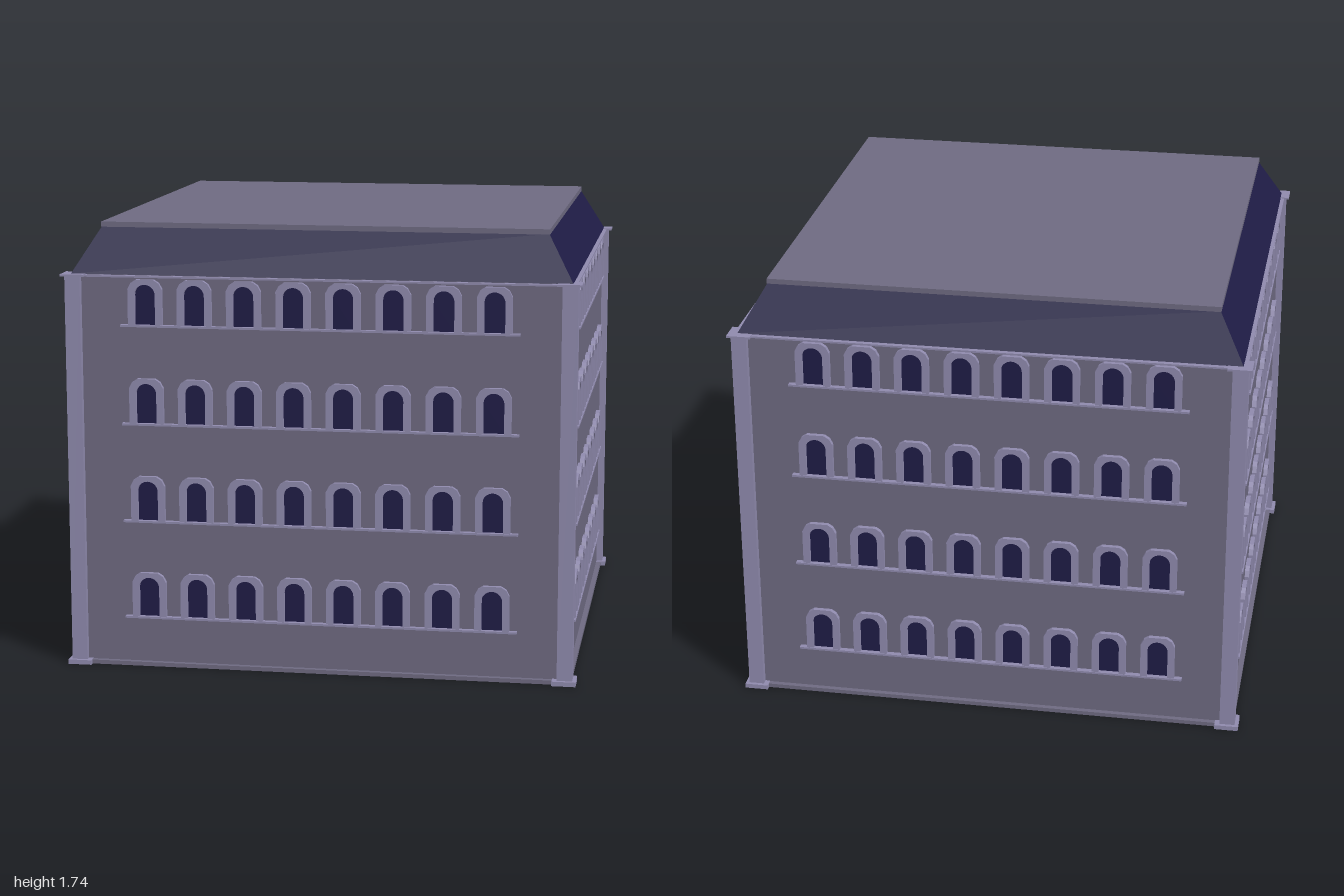
import * as THREE from 'three';

const wallMat = new THREE.MeshStandardMaterial({ color: 0x6e6a81 });
const trimMat = new THREE.MeshStandardMaterial({ color: 0x8f8aad });
const darkMat = new THREE.MeshStandardMaterial({ color: 0x1f1c46 });
const roofMat = new THREE.MeshStandardMaterial({ color: 0x1f1c46, flatShading: true });

const WALL = 0.96; // half width of the building
const EAVES = 1.548;
const COLUMNS = 8, PITCH = 0.1923;
const FLOORS = [0.2, 0.585, 0.97, 1.355];

function add(parent, name, geometry, material, x = 0, y = 0, z = 0) {
  const mesh = new THREE.Mesh(geometry, material);
  mesh.name = name;
  mesh.position.set(x, y, z);
  parent.add(mesh);
  return mesh;
}

// Box given by its size and the height of its underside
function slab(parent, name, w, h, d, material, x, y, z) {
  return add(parent, name, new THREE.BoxGeometry(w, h, d), material, x, y + h / 2, z);
}

// Round-headed opening
function archPath(PathType) {
  const p = new PathType();
  p.moveTo(-0.04, 0);
  p.lineTo(0.04, 0);
  p.lineTo(0.04, 0.117);
  p.absarc(0, 0.117, 0.04, 0, Math.PI, false);
  p.lineTo(-0.04, 0);
  return p;
}

// Frame outline with cut upper corners
function frameGeometry() {
  const s = new THREE.Shape([
    [-0.067, 0], [0.067, 0], [0.067, 0.14], [0.055, 0.163], [0.035, 0.176],
    [-0.035, 0.176], [-0.055, 0.163], [-0.067, 0.14],
  ].map(([x, y]) => new THREE.Vector2(x, y)));
  s.holes.push(archPath(THREE.Path));
  return new THREE.ExtrudeGeometry(s, { depth: 0.018, bevelEnabled: false, curveSegments: 12 });
}

const frameGeo = frameGeometry();
const paneGeo = new THREE.ShapeGeometry(archPath(THREE.Shape), 12);

// One side of the building: rows of windows on sills
function createFacade() {
  const facade = new THREE.Group();
  facade.name = 'facade';
  for (const y of FLOORS) {
    slab(facade, 'sill', 1.54, 0.008, 0.022, trimMat, 0, y - 0.007, WALL + 0.01);
    for (let i = 0; i < COLUMNS; i++) {
      const x = (i - (COLUMNS - 1) / 2) * PITCH;
      add(facade, 'windowFrame', frameGeo, trimMat, x, y, WALL);
      add(facade, 'windowPane', paneGeo, darkMat, x, y, WALL + 0.002);
    }
  }
  return facade;
}

export function createModel() {
  const building = new THREE.Group();
  building.name = 'building';

  // Walls, plinth and cornice
  slab(building, 'walls', 2 * WALL, EAVES - 0.002, 2 * WALL, wallMat, 0, 0.001, 0);
  slab(building, 'plinth', 1.96, 0.016, 1.96, wallMat, 0, 0, 0);
  slab(building, 'cornice', 1.96, 0.007, 1.96, trimMat, 0, EAVES - 0.009, 0);

  // Four matching sides
  for (let i = 0; i < 4; i++) {
    const facade = createFacade();
    facade.rotation.y = i * Math.PI / 2;
    building.add(facade);
  }

  // Corner pillars with foot and cap plates
  for (const sx of [-1, 1]) for (const sz of [-1, 1]) {
    const pillar = new THREE.Group();
    pillar.name = 'cornerPillar';
    slab(pillar, 'shaft', 0.06, EAVES - 0.01, 0.06, trimMat, sx * 0.956, 0.005, sz * 0.956);
    slab(pillar, 'foot', 0.093, 0.018, 0.093, trimMat, sx * 0.9535, 0, sz * 0.9535);
    slab(pillar, 'cap', 0.093, 0.008, 0.093, trimMat, sx * 0.9535, EAVES - 0.007, sz * 0.9535);
    building.add(pillar);
  }

  // Sloping roof with a flat top
  const roofGeo = new THREE.CylinderGeometry(0.865 * Math.SQRT2, 0.965 * Math.SQRT2, 0.174, 4);
  roofGeo.rotateY(Math.PI / 4);
  add(building, 'slopingRoof', roofGeo, roofMat, 0, EAVES + 0.087, 0);
  slab(building, 'flatRoof', 1.735, 0.02, 1.735, wallMat, 0, 1.72, 0);

  return building;
}
